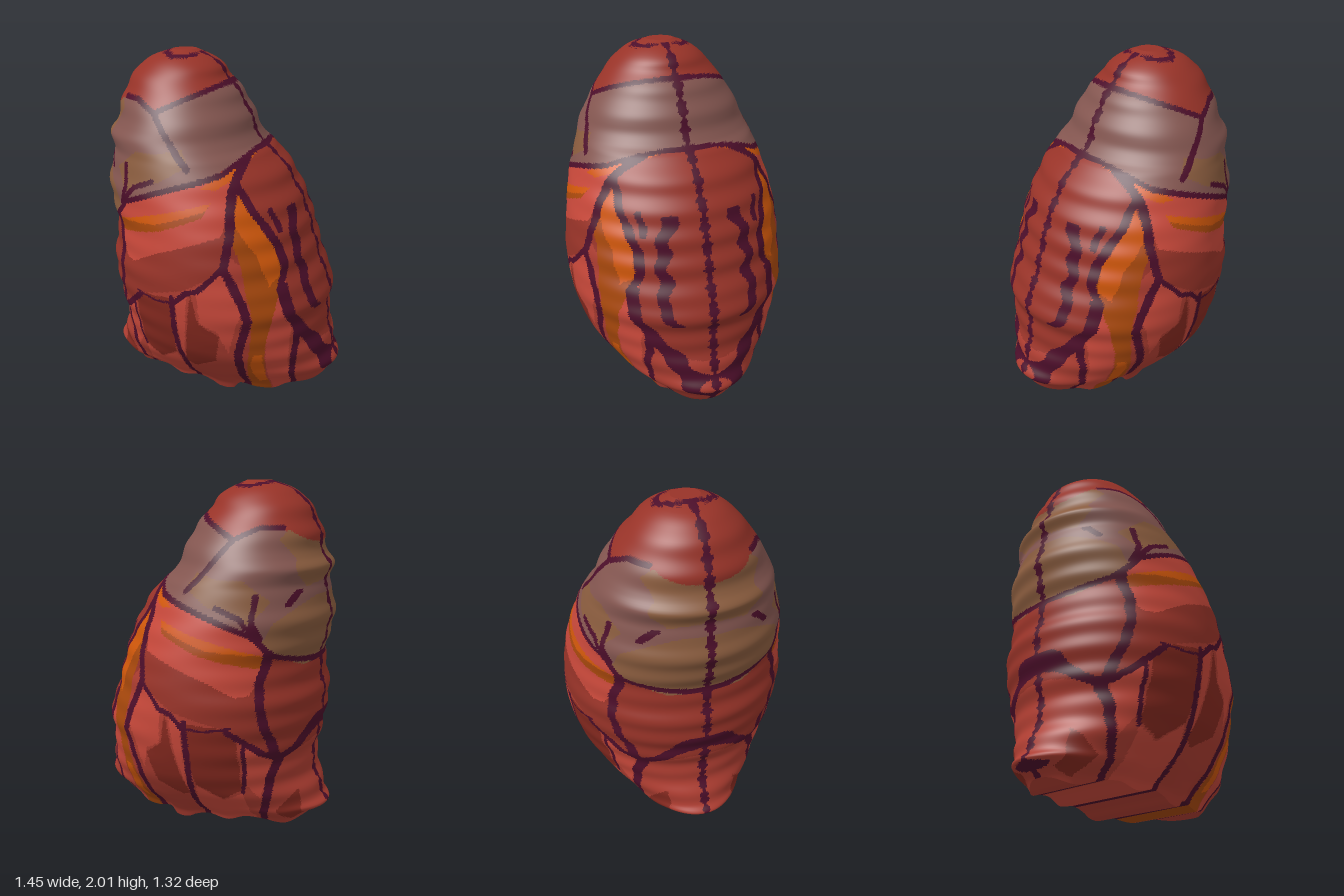
import * as THREE from 'three';

const ROWS = 190, COLS = 320, HALF = COLS / 2;
const palette = {
  muscleRed: 0x983328, brightRed: 0xc8483a, midRed: 0xae3d31, darkRed: 0x86291f, stoneGrey: 0x845650,
  tan: 0x8a5c3e, orange: 0xd0570a, darkOrange: 0xa8480c, veinPurple: 0x4c0e2a,
};
const names = Object.keys(palette);

// Smooth interpolation through [t0, v0, t1, v1, ...]
function curve(p) {
  const n = p.length / 2, T = i => p[2 * i], V = i => p[2 * i + 1];
  const slope = i => {
    const a = Math.max(0, i - 1), b = Math.min(n - 1, i + 1);
    return (V(b) - V(a)) / (T(b) - T(a));
  };
  return t => {
    if (t <= T(0)) return V(0);
    if (t >= T(n - 1)) return V(n - 1);
    let i = 0;
    while (t > T(i + 1)) i++;
    const d = T(i + 1) - T(i), s = (t - T(i)) / d, s2 = s * s, s3 = s2 * s;
    return (2 * s3 - 3 * s2 + 1) * V(i) + (s3 - 2 * s2 + s) * d * slope(i)
      + (3 * s2 - 2 * s3) * V(i + 1) + (s3 - s2) * d * slope(i + 1);
  };
}

// Outline by height: left edge, right edge, half depth; and the wavy bottom edge by x
const leftEdge = curve([0, -.62, .05, -.66, .12, -.72, .17, -.70, .25, -.67, .4, -.625, .6, -.655, .8, -.68, 1, -.65,
  1.15, -.675, 1.25, -.70, 1.35, -.69, 1.45, -.66, 1.54, -.69, 1.6, -.65, 1.75, -.615, 1.85, -.565, 1.91, -.52, 1.96, -.45, 2, -.33]);
const rightEdge = curve([0, .62, .05, .65, .12, .695, .17, .715, .25, .69, .4, .655, .5, .64, .66, .65, .8, .59, 1, .53,
  1.15, .48, 1.25, .43, 1.35, .37, 1.45, .28, 1.5, .21, 1.6, .165, 1.75, .09, 1.85, .01, 1.91, -.03, 1.96, -.10, 2, -.19]);
const depth = curve([0, .30, .05, .325, .1, .37, .2, .46, .3, .535, .4, .59, .6, .645, .8, .66, 1, .645, 1.2, .61, 1.4, .55,
  1.6, .47, 1.7, .415, 1.8, .345, 1.9, .26, 1.96, .18, 2, .08]);
const bottomEdge = curve([-.72, .07, -.62, .06, -.52, .02, -.4, .05, -.3, .06, -.2, .03, -.08, .05, 0, .03, .06, 0, .14, 0,
  .18, .04, .28, .02, .38, .015, .46, .045, .6, .04, .72, .06]);

// Colour layers over (x, y); later ones lie on top
const layers = [];
const fill = (name, p) => layers.push({ id: names.indexOf(name), p });
const vein = (r, p) => layers.push({ id: names.indexOf('veinPurple'), p, r });

fill('midRed', [-.9, .7, -.55, .5, -.3, .72, -.02, .8, .15, .9, .2, 1, .3, .9, .46, .8, .54, .58, .6, .4, .9, .2, .9, -.1, -.9, -.1]);
fill('darkRed', [-.36, .68, -.3, .72, -.1, .74, -.12, .35, -.25, .25, -.36, .32]);
fill('darkRed', [.01, .78, .05, .6, .16, .52, .12, .33, -.02, .25, -.07, .28, -.03, .5]);
fill('darkRed', [-.61, .28, -.5, .15, -.55, .05, -.63, .1]);
fill('brightRed', [.04, .8, .15, .9, .2, .94, .3, .7, .25, .6, .2, .4, .15, .55, .06, .6]);
fill('brightRed', [-.08, .72, -.01, .76, -.04, .5, -.07, .27]);
fill('brightRed', [-.36, .3, -.25, .24, -.12, .34, -.09, .2, -.1, .03, -.37, .03]);
fill('brightRed', [-.5, .5, -.4, .62, -.38, .35, -.44, .25]);
// Grey crown with tan patches
fill('stoneGrey', [-.9, 1.62, -.62, 1.66, -.49, 1.77, -.4, 1.76, -.28, 1.7, -.15, 1.76, .02, 1.82, .4, 1.84, .24, 1.49, .2, 1.47,
  .05, 1.38, -.25, 1.29, -.42, 1.22, -.52, 1.11, -.62, 1.03, -.9, 1]);
fill('tan', [-.9, 1.42, -.66, 1.4, -.52, 1.28, -.47, 1.18, -.53, 1.09, -.62, 1.02, -.9, 1]);
fill('tan', [-.5, 1.39, -.36, 1.5, -.23, 1.5, -.1, 1.53, -.05, 1.45, -.18, 1.37, -.28, 1.33, -.42, 1.28]);
fill('tan', [-.64, 1.67, -.53, 1.75, -.5, 1.7, -.58, 1.6, -.62, 1.45, -.72, 1.5]);
// Sloping band under the crown
fill('brightRed', [-.5, 1.13, -.4, 1.22, -.22, 1.29, .05, 1.37, .22, 1.47, .18, 1.22, .16, 1.1, 0, 1.05, -.2, .98, -.36, .89,
  -.42, .9, -.46, .97]);
fill('darkOrange', [-.49, 1.1, -.25, 1.18, .09, 1.27, .06, 1.2, -.17, 1.11, -.49, 1.03]);
fill('orange', [-.47, 1.11, -.25, 1.18, .09, 1.27, .07, 1.23, -.2, 1.14]);
fill('orange', [.23, 1.47, .12, 1.42, .03, 1.34, .1, 1.33, .17, 1.37, .21, 1.42]);
// Tall orange streak and its neighbour
fill('brightRed', [.46, .85, .52, .6, .5, .4, .48, -.1, .37, -.1, .39, .45, .42, .68]);
fill('darkOrange', [.21, 1.3, .3, 1.17, .4, 1.02, .46, .85, .44, .68, .39, .45, .37, .2, .37, -.1, .23, -.1, .28, .25, .32, .5,
  .33, .65, .29, .8, .27, .92, .2, 1.1]);
fill('orange', [.21, 1.3, .3, 1.17, .4, 1.02, .45, .86, .4, .8, .33, .98, .25, 1.1, .21, 1.15]);
fill('orange', [.3, .3, .33, .38, .37, .38, .37, .12, .31, .1]);
// Veins
vein(.014, [-.5, 1.76, -.4, 1.76, -.28, 1.7, -.15, 1.76, .02, 1.83, .2, 1.83]);
vein(.016, [-.28, 1.7, -.2, 1.6, -.12, 1.5, -.05, 1.43]);
vein(.014, [-.24, 1.36, -.36, 1.31, -.44, 1.22]);
vein(.014, [-.43, 1.42, -.42, 1.3, -.46, 1.2]);
vein(.014, [-.6, 1.43, -.57, 1.37]);
vein(.015, [.4, 1.49, .23, 1.49, .12, 1.4, -.1, 1.34, -.25, 1.29, -.42, 1.22, -.52, 1.1, -.7, 1.01]);
vein(.02, [-.5, 1.12, -.46, .95, -.48, .75, -.53, .5, -.49, .38, -.47, .25, -.4, .02]);
vein(.017, [-.68, .7, -.6, .55, -.53, .5, -.45, .57, -.32, .7]);
vein(.007, [-.34, .72, -.2, .7, -.1, .71]);
vein(.015, [-.1, .7, -.02, .78, .05, .8, .14, .89, .19, .95]);
vein(.01, [-.39, .62, -.38, .4, -.36, .3]);
vein(.017, [-.1, .74, -.1, .5, -.08, .25, -.08, .02]);
vein(.022, [.2, 1.45, .18, 1.3, .2, 1.1, .18, .93, .28, .72, .31, .62, .25, .4, .23, .02]);
vein(.015, [.2, 1.34, .31, 1.18, .4, 1.05, .46, .9, .45, .78, .54, .55, .53, .4, .49, .04]);
vein(.024, [.46, .78, .54, .52, .62, .35, .66, .25, .7, .1]);
vein(.013, [.44, 1.18, .51, .9, .57, .72, .62, .6]);
vein(.01, [.36, 1.2, .42, 1.08]);
vein(.009, [-.38, 2, -.27, 1.97, -.16, 1.975]);
vein(.02, [-.8, .12, -.67, .1]);

function inside(p, x, y) {
  let hit = false;
  for (let i = 0, j = p.length - 2; i < p.length; j = i, i += 2)
    if ((p[i + 1] > y) !== (p[j + 1] > y) && x < (p[j] - p[i]) * (y - p[i + 1]) / (p[j + 1] - p[i + 1]) + p[i]) hit = !hit;
  return hit;
}
function nearLine(p, r, x, y) {
  for (let i = 0; i + 3 < p.length; i += 2) {
    const dx = p[i + 2] - p[i], dy = p[i + 3] - p[i + 1];
    const s = Math.min(1, Math.max(0, ((x - p[i]) * dx + (y - p[i + 1]) * dy) / (dx * dx + dy * dy)));
    if (Math.hypot(x - p[i] - s * dx, y - p[i + 1] - s * dy) < r) return true;
  }
  return false;
}
function colourAt(x, y) {
  for (let i = layers.length - 1; i >= 0; i--) {
    const { id, p, r } = layers[i];
    if (r ? nearLine(p, r, x, y) : inside(p, x, y)) return id;
  }
  return 0;
}

// Mesh whose triangles are grouped by the colour at their centre
function paintedMesh(name, pos, triangles, materials, seam) {
  const buckets = names.map(() => []);
  for (const t of triangles) {
    const mid = k => (pos[t[0] * 3 + k] + pos[t[1] * 3 + k] + pos[t[2] * 3 + k]) / 3;
    const x = mid(0), y = mid(1), z = mid(2);
    // Ragged dark seam where the two halves meet
    const onSeam = seam && y < 1.99 && Math.abs(z) < .022 + .014 * Math.sin(y * 97) * Math.sin(y * 41);
    buckets[onSeam ? names.indexOf('veinPurple') : colourAt(x, y)].push(...t);
  }
  const geo = new THREE.BufferGeometry();
  geo.setAttribute('position', new THREE.Float32BufferAttribute(pos, 3));
  geo.setIndex(buckets.flat());
  let start = 0;
  buckets.forEach((b, i) => {
    if (b.length) geo.addGroup(start, b.length, i);
    start += b.length;
  });
  geo.computeVertexNormals();
  const mesh = new THREE.Mesh(geo, materials);
  mesh.name = name;
  return mesh;
}

export function createModel() {
  const group = new THREE.Group();
  group.name = 'veinedRock';
  const materials = names.map(name => {
    const m = new THREE.MeshStandardMaterial({ color: palette[name] });
    m.name = name;
    return m;
  });

  // Body: stacked elliptical rings
  const pos = [], tris = [];
  for (let i = 0; i <= ROWS; i++) {
    const h = 2 * i / ROWS, ripple = .006 * Math.sin(h * 43) * Math.min(1, (2 - h) * 8);
    const l = leftEdge(h) + ripple, r = rightEdge(h) + ripple, d = depth(h);
    for (let j = 0; j < COLS; j++) {
      const a = 2 * Math.PI * j / COLS, x = (l + r) / 2 - (r - l) / 2 * Math.cos(a);
      const y = h + bottomEdge(x) * Math.max(0, 1 - h / .25) ** 2;
      pos.push(x, y, d * Math.sin(a));
    }
  }
  for (let i = 0; i < ROWS; i++) for (let j = 0; j < COLS; j++) {
    const k = (j + 1) % COLS, a = i * COLS + j, b = i * COLS + k;
    tris.push([a, b, b + COLS], [a, b + COLS, a + COLS]);
  }
  group.add(paintedMesh('rockBody', pos, tris, materials, true));

  // Underside and crown close the first and last rings
  for (const [name, row, up] of [['underside', 0, false], ['crownTop', ROWS, true]]) {
    const ring = pos.slice(row * COLS * 3, (row + 1) * COLS * 3), cap = [];
    for (let k = 0; k < HALF; k++) {
      const f = k, g = k + 1, bf = (COLS - k) % COLS, bg = COLS - k - 1;
      for (const t of [[f, g, bg], [f, bg, bf]]) if (new Set(t).size === 3) cap.push(up ? t : t.reverse());
    }
    group.add(paintedMesh(name, ring, cap, materials, false));
  }
  return group;
}
